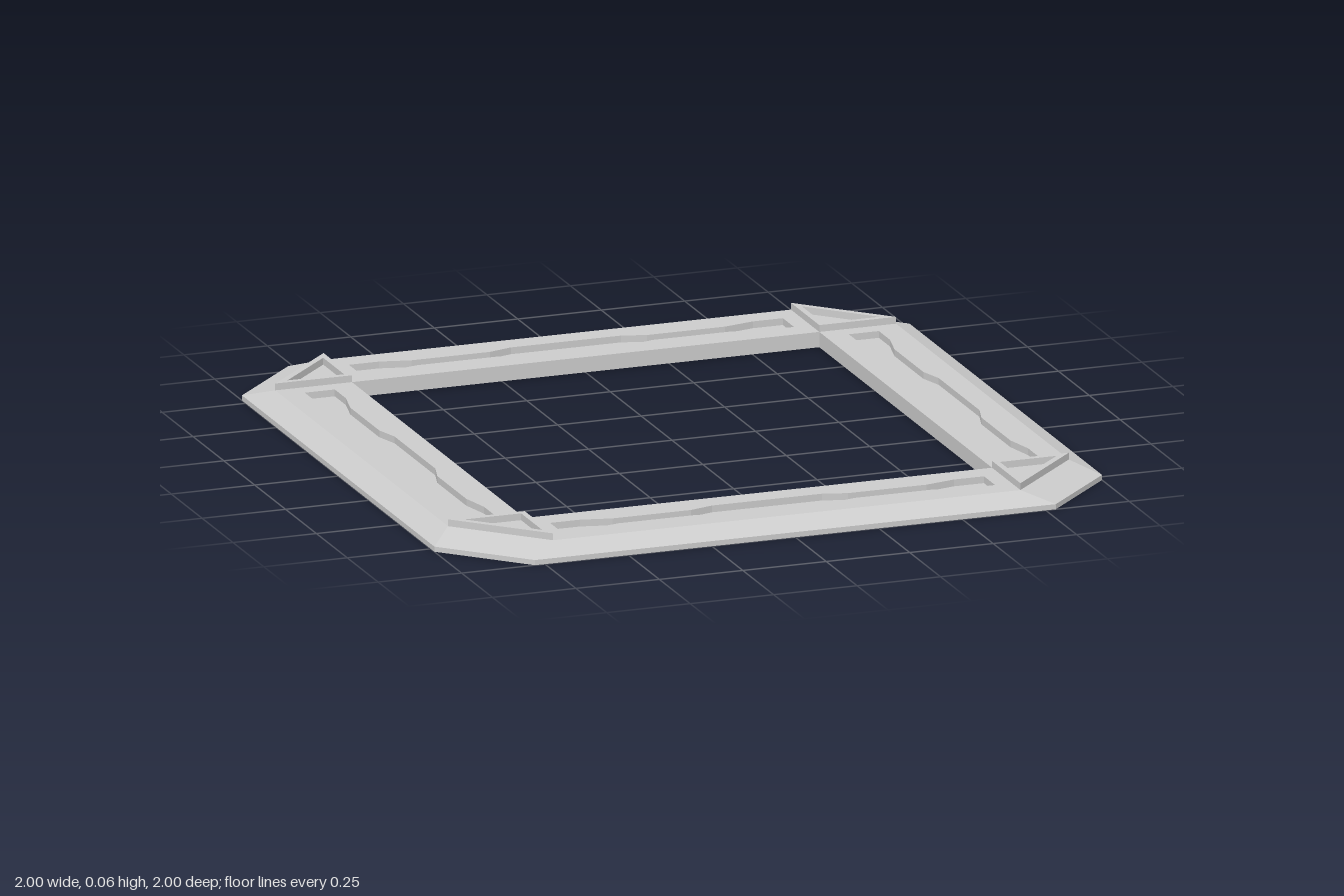
import * as THREE from 'three';

const material = new THREE.MeshStandardMaterial({
  color: 0xcccccc, flatShading: true, side: THREE.DoubleSide,
});

const OUT = 1, CUT = 0.78;        // outer octagon: half size, corner start
const EDGE = 0.93, IN = 0.70;     // top of the bevel, inner opening
const RIM = 0.015, TOP = 0.045, CAP = 0.065;

function mesh(name, geometry) {
  const m = new THREE.Mesh(geometry, material);
  m.name = name;
  return m;
}

// Counter-clockwise octagon in plan
const octagon = (r, c) => [
  [r, -c], [r, c], [c, r], [-c, r], [-r, c], [-r, -c], [-c, -r], [c, -r],
];

// Flat plate in plan at height y, with optional hole
function plate(points, y, hole) {
  const toVec = (p) => new THREE.Vector2(p[0], p[1]);
  const shape = new THREE.Shape(points.map(toVec));
  if (hole) shape.holes.push(new THREE.Path(hole.map(toVec)));
  return new THREE.ShapeGeometry(shape).rotateX(-Math.PI / 2).translate(0, y, 0);
}

// Band of quads from loop a at height ya to loop b at height yb
function band(a, ya, b, yb) {
  const pos = [];
  a.forEach((p, i) => {
    const j = (i + 1) % a.length;
    const A = [p[0], ya, -p[1]], B = [a[j][0], ya, -a[j][1]];
    const C = [b[j][0], yb, -b[j][1]], D = [b[i][0], yb, -b[i][1]];
    pos.push(...A, ...B, ...C, ...A, ...C, ...D);
  });
  const g = new THREE.BufferGeometry();
  g.setAttribute('position', new THREE.Float32BufferAttribute(pos, 3));
  g.computeVertexNormals();
  return g;
}

// Waisted groove outline, mirrored from one quarter
function grooveOutline() {
  const mid = (EDGE + IN) / 2;
  const half = [[0.65, 0.045], [0.56, 0.045], [0.47, 0.025], [0.235, 0.025], [0.165, 0.045]];
  const upper = [...half, ...half.slice().reverse().map(([x, w]) => [-x, w])];
  const lower = upper.slice().reverse().map(([x, w]) => [x, -w]);
  return [...upper, ...lower].map(([x, w]) => [x, mid + w]);
}

// One side rail: grooved top plate and inner wall
function createRail() {
  const rail = new THREE.Group();
  rail.name = 'rail';
  const groove = grooveOutline();
  const floor = TOP - 0.02;
  rail.add(mesh('railTop', plate([[-IN, IN], [IN, IN], [IN, EDGE], [-IN, EDGE]], TOP, groove)));
  rail.add(mesh('grooveWall', band(groove, TOP, groove, floor)));
  rail.add(mesh('grooveFloor', plate(groove, floor)));
  const wall = new THREE.PlaneGeometry(2 * IN, TOP).translate(0, TOP / 2, -IN);
  rail.add(mesh('innerWall', wall));
  return rail;
}

// Raised triangular corner with a recessed centre
function createCorner() {
  const corner = new THREE.Group();
  corner.name = 'cornerCap';
  const outer = [[IN, IN], [EDGE, IN], [IN, EDGE]];
  const a = IN + 0.017, b = EDGE - 0.043;
  const inner = [[a, a], [b, a], [a, b]];
  corner.add(mesh('capWall', band(outer, 0, outer, CAP)));
  corner.add(mesh('capRim', plate(outer, CAP, inner)));
  corner.add(mesh('recessWall', band(inner, CAP, inner, TOP)));
  corner.add(mesh('recessFloor', plate(inner, TOP)));
  return corner;
}

export function createModel() {
  const model = new THREE.Group();
  model.name = 'squareFrame';

  // Bevelled outer border
  const low = octagon(OUT, CUT), high = octagon(EDGE, IN);
  model.add(mesh('outerEdge', band(low, 0, low, RIM)));
  model.add(mesh('bevel', band(low, RIM, high, TOP)));
  model.add(mesh('borderUnderside', band(high, 0, low, 0)));
  model.add(mesh('borderInnerWall', band(high, TOP, high, 0)));

  // Rails and corners around the four sides
  for (let i = 0; i < 4; i++) {
    for (const part of [createRail(), createCorner()]) {
      part.rotation.y = i * Math.PI / 2;
      model.add(part);
    }
  }
  return model;
}
